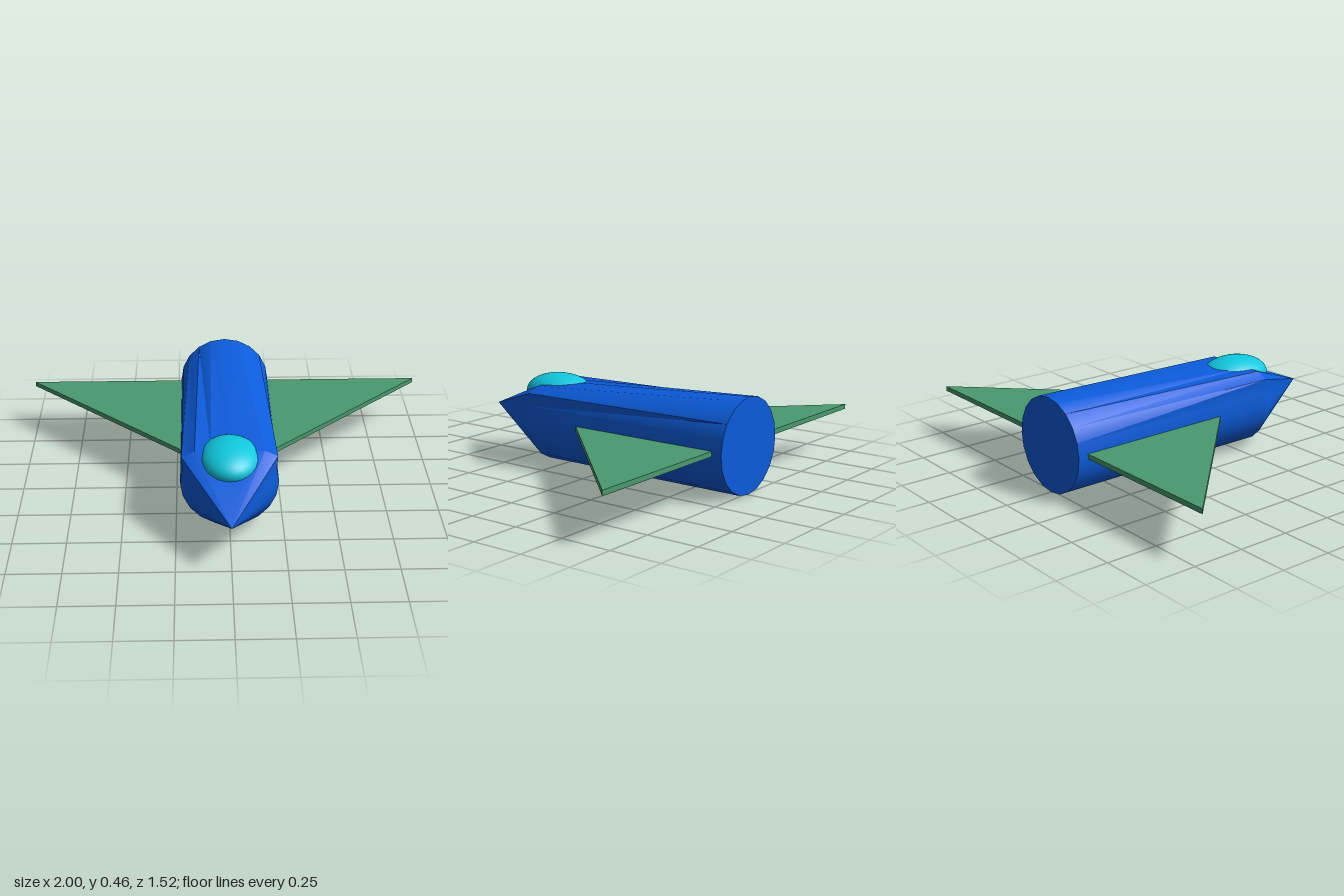
import * as THREE from 'three';
import { toCreasedNormals } from 'three/addons/utils/BufferGeometryUtils.js';

const RADIUS = 0.228;
const AXIS_Y = 0.229;
const SHOULDER_Z = 0.355;

function part(name, geometry, color) {
  const mesh = new THREE.Mesh(geometry, new THREE.MeshStandardMaterial({ color }));
  mesh.name = name;
  return mesh;
}

// Tapered tube with a pointed nose; the top of its shoulder ring is flattened and widened
function fuselageGeometry() {
  const profile = [[0, -0.762], [RADIUS, -0.762], [RADIUS, SHOULDER_Z], [0, 0.762]]
    .map(([r, z]) => new THREE.Vector2(r, z));
  const geometry = new THREE.LatheGeometry(profile, 20);
  geometry.rotateX(Math.PI / 2);
  const pos = geometry.attributes.position;
  for (let i = 0; i < pos.count; i++) {
    const onShoulder = Math.abs(pos.getZ(i) - SHOULDER_Z) < 0.01;
    if (onShoulder && pos.getY(i) > 0.1) {
      pos.setX(i, pos.getX(i) * 1.2);
      pos.setY(i, Math.min(pos.getY(i), 0.161));
    }
  }
  return toCreasedNormals(geometry, 0.4);
}

// Thin delta wing, one half per side
function wingGeometry(side) {
  const shape = new THREE.Shape();
  shape.moveTo(0, -0.285);
  shape.lineTo(side, 0.712);
  shape.lineTo(0, 0.712);
  const geometry = new THREE.ExtrudeGeometry(shape, { depth: 0.024, bevelEnabled: false });
  geometry.translate(0, 0, -0.012);
  geometry.rotateX(-Math.PI / 2);
  return geometry;
}

export function createModel() {
  const model = new THREE.Group();
  model.name = 'deltaWingCraft';

  const fuselage = part('fuselage', fuselageGeometry(), 0x0c5cdc);
  fuselage.position.y = AXIS_Y;
  model.add(fuselage);

  for (const side of [1, -1]) {
    const wing = part(side > 0 ? 'leftWing' : 'rightWing', wingGeometry(side), 0x4a9a70);
    wing.position.y = AXIS_Y + 0.001;
    model.add(wing);
  }

  // Canopy bubble sunk into the shoulder
  const canopy = part('canopy', new THREE.SphereGeometry(1, 32, 20), 0x10c8de);
  canopy.scale.set(0.141, 0.088, 0.18);
  canopy.position.set(0, 0.344, 0.345);
  model.add(canopy);

  return model;
}
